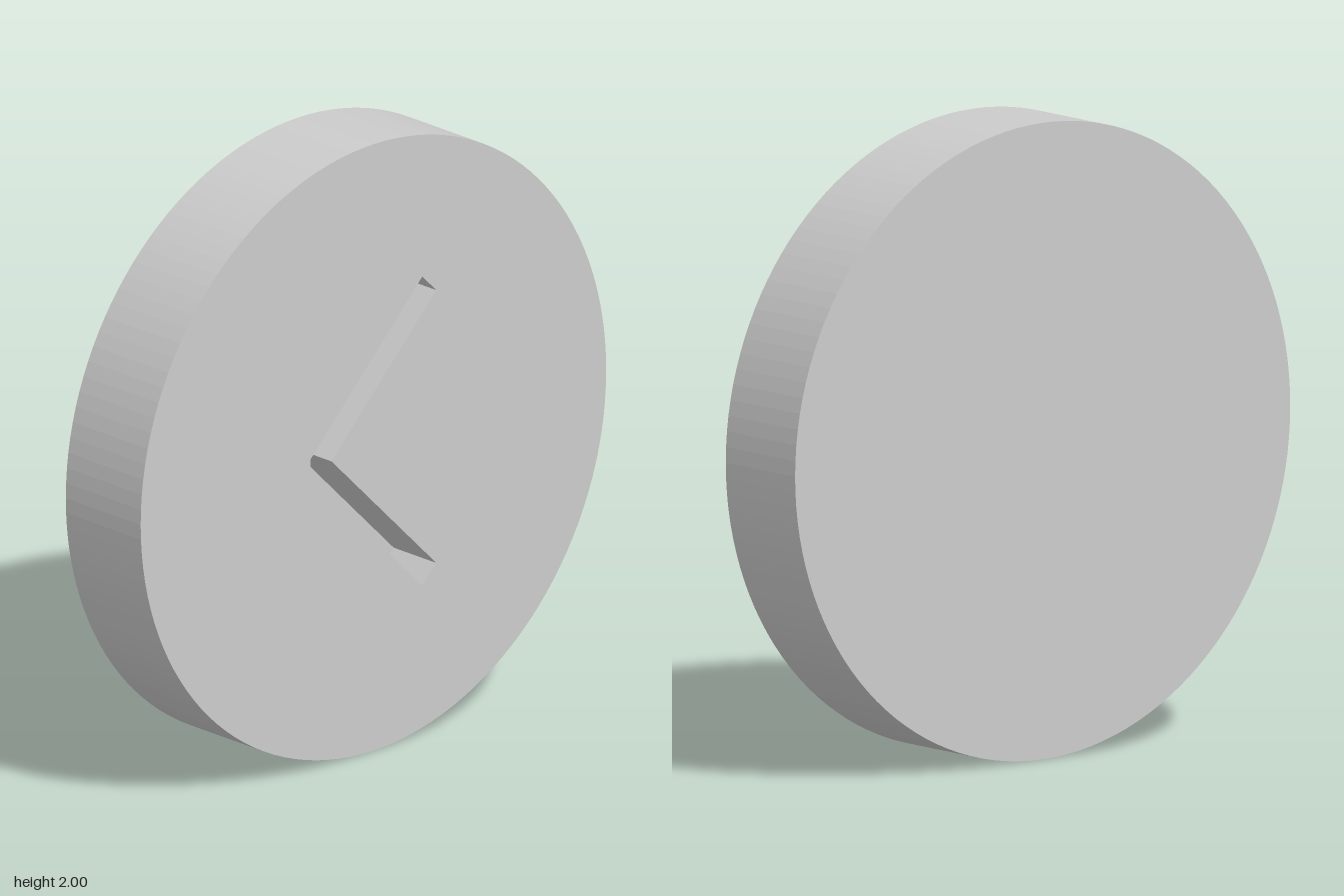
import * as THREE from 'three';

const HALF = 0.167;           // half thickness of the disc
const FLOOR = HALF - 0.19;    // depth level of the recess floor
const SIDES = 128;

// Flat-shaded band along a closed outline; counter-clockwise outlines face outward
function wall(points, z0, z1) {
  const pos = [];
  points.forEach((a, i) => {
    const b = points[(i + 1) % points.length];
    pos.push(a.x, a.y, z0, b.x, b.y, z0, b.x, b.y, z1);
    pos.push(a.x, a.y, z0, b.x, b.y, z1, a.x, a.y, z1);
  });
  const geo = new THREE.BufferGeometry();
  geo.setAttribute('position', new THREE.Float32BufferAttribute(pos, 3));
  geo.computeVertexNormals();
  return geo;
}

export function createModel() {
  const group = new THREE.Group();
  const material = new THREE.MeshStandardMaterial({ color: 0xcccccc });
  const add = (name, geo) => {
    const mesh = new THREE.Mesh(geo, material);
    mesh.name = name;
    mesh.position.y = 1;
    group.add(mesh);
    return mesh;
  };

  // Outlines of the disc and of the chevron recess
  const circle = Array.from({ length: SIDES }, (_, i) => {
    const t = (i / SIDES) * Math.PI * 2;
    return new THREE.Vector2(Math.cos(t), Math.sin(t));
  });
  const chevron = [
    [-0.27, -0.03], [0.21, -0.51], [0.27, -0.45], [-0.18, 0],
    [0.27, 0.45], [0.21, 0.51], [-0.27, 0.03],
  ].map(([x, y]) => new THREE.Vector2(x, y));

  // Disc: pierced front face, rim and plain back
  const face = new THREE.Shape(circle);
  face.holes.push(new THREE.Path(chevron));
  add('frontFace', new THREE.ShapeGeometry(face)).position.z = HALF;
  add('rim', wall(circle, -HALF, HALF));
  const back = add('backFace', new THREE.ShapeGeometry(new THREE.Shape(circle)));
  back.rotation.y = Math.PI;
  back.position.z = -HALF;

  // Chevron recess: inward-facing walls and floor
  add('recessWalls', wall([...chevron].reverse(), FLOOR, HALF));
  add('recessFloor', new THREE.ShapeGeometry(new THREE.Shape(chevron))).position.z = FLOOR;

  return group;
}
